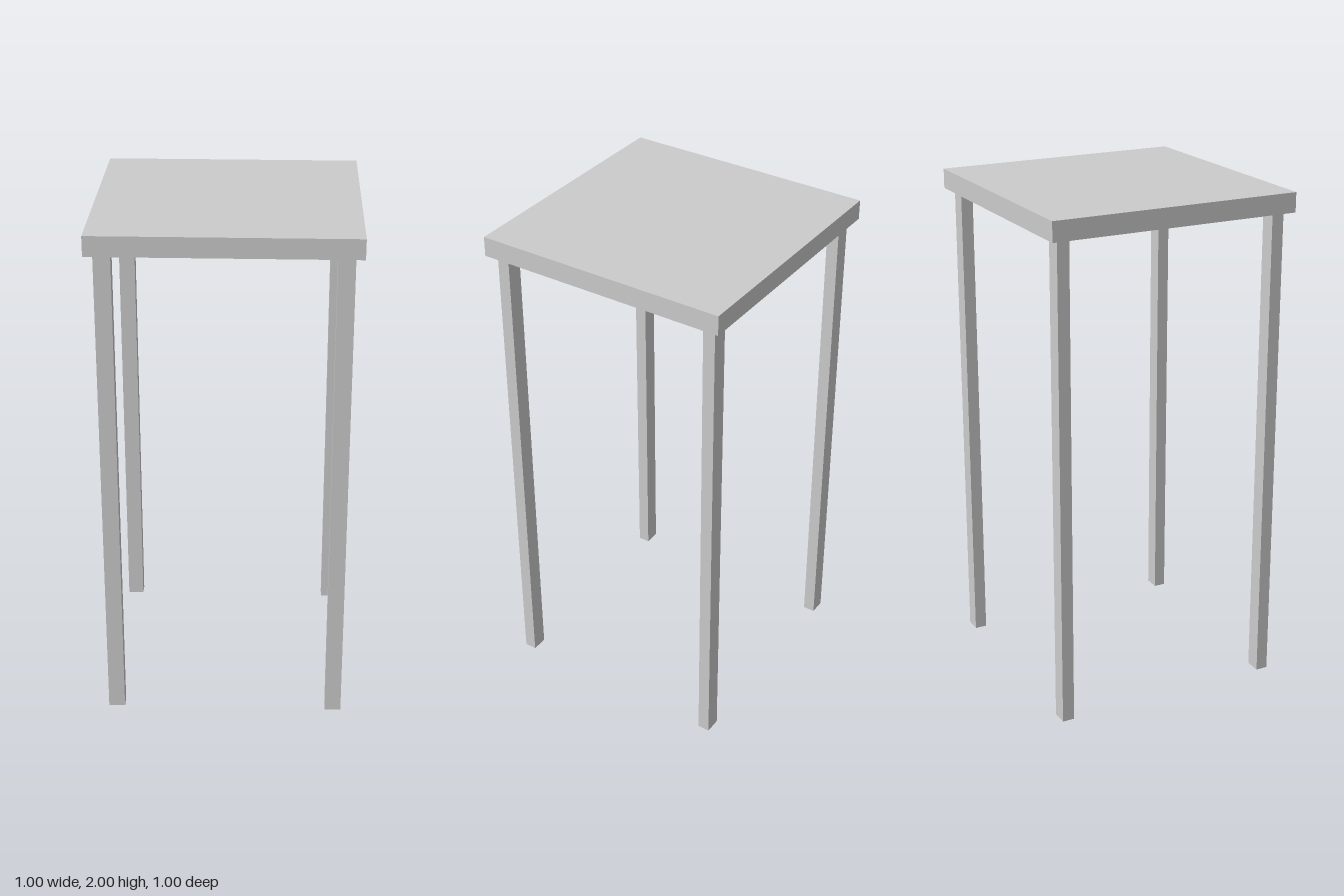
import * as THREE from 'three';

export function createModel() {
  const model = new THREE.Group();
  model.name = 'tallTable';
  const material = new THREE.MeshStandardMaterial({ color: 0xcccccc });

  const topThickness = 0.077;
  const legHeight = 2 - topThickness;
  const legWidth = 0.064;
  const legDepth = 0.048;
  const legOuter = 0.468; // outer leg faces, set in from the edge of the top

  // Square top
  const top = new THREE.Mesh(new THREE.BoxGeometry(1, topThickness, 1), material);
  top.name = 'tableTop';
  top.position.y = legHeight + topThickness / 2;
  model.add(top);

  // Four straight legs, mirrored to the corners
  const legGeometry = new THREE.BoxGeometry(legWidth, legHeight, legDepth);
  for (const [side, sx] of [['Left', 1], ['Right', -1]]) {
    for (const [end, sz] of [['front', 1], ['back', -1]]) {
      const leg = new THREE.Mesh(legGeometry, material);
      leg.name = `${end}${side}Leg`;
      leg.position.set(sx * (legOuter - legWidth / 2), legHeight / 2, sz * (legOuter - legDepth / 2));
      model.add(leg);
    }
  }
  return model;
}
